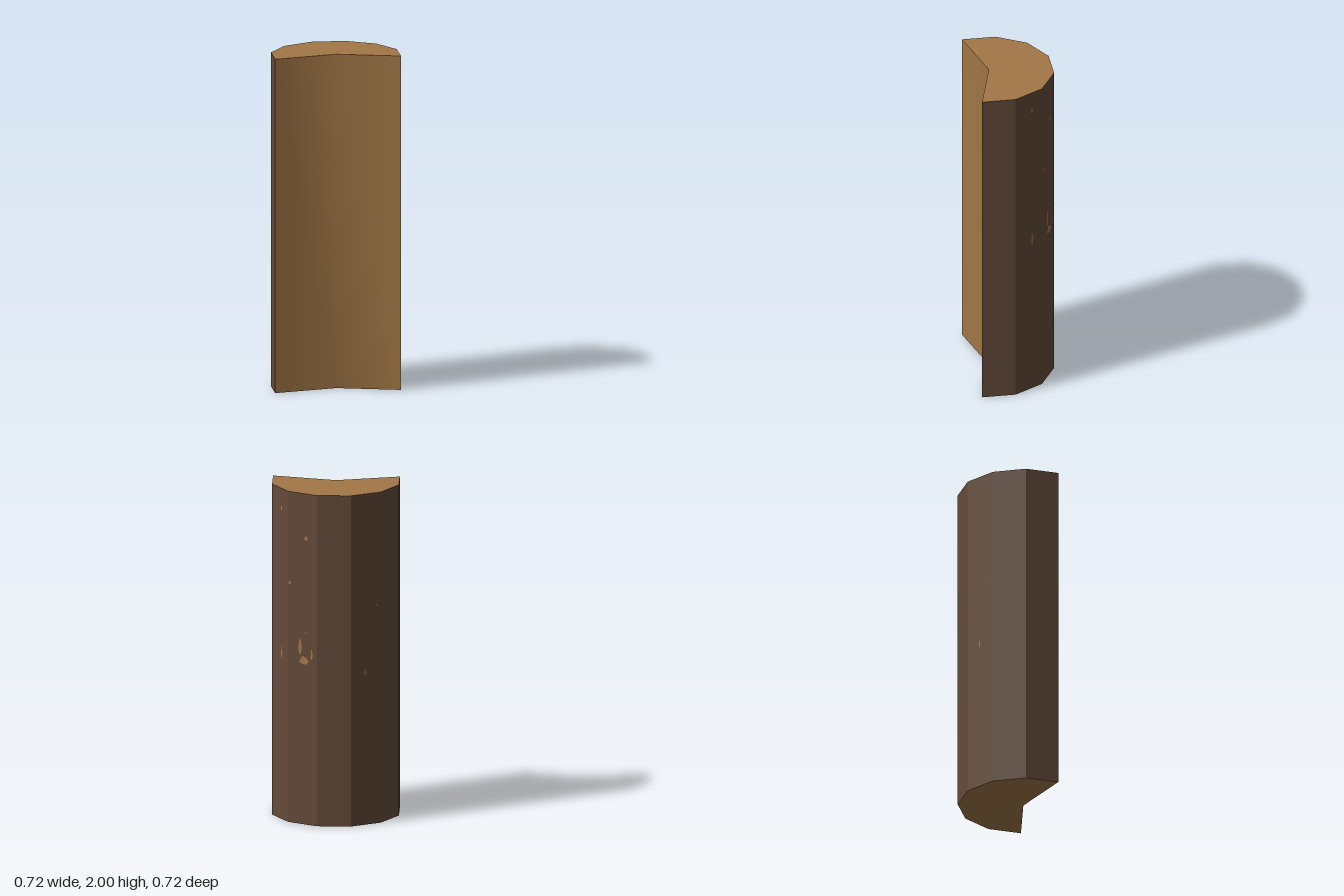
import * as THREE from 'three';

const R = 0.385, C = 0.025, H = 2;

export function createModel() {
  const wood = new THREE.MeshStandardMaterial({ color: 0xa27746 });
  wood.name = 'split wood';
  const bark = new THREE.MeshStandardMaterial({ color: 0x634a39 });
  bark.name = 'bark';

  const group = new THREE.Group();
  group.name = 'splitLog';
  const add = (name, geometry, material) => {
    const mesh = new THREE.Mesh(geometry, material);
    mesh.name = name;
    group.add(mesh);
    return mesh;
  };

  // Rim corners [x, z]: eight points of a twelve-sided trunk, from right tip round the back
  const rim = [];
  for (let i = 0; i < 8; i++) {
    const a = -Math.PI / 6 - i * Math.PI / 6;
    rim.push([C + R * Math.cos(a), C + R * Math.sin(a)]);
  }

  // Vertical wall through a list of [x, z] points
  const wall = (points) => {
    const pos = [], index = [];
    points.forEach(([x, z], i) => {
      pos.push(x, 0, z, x, H, z);
      const k = i * 2;
      if (i) index.push(k - 2, k, k - 1, k, k + 1, k - 1);
    });
    const g = new THREE.BufferGeometry();
    g.setAttribute('position', new THREE.Float32BufferAttribute(pos, 3));
    g.setIndex(index);
    g.computeVertexNormals();
    return g;
  };

  // Faceted bark
  const barkGeometry = wall([...rim].reverse()).toNonIndexed();
  barkGeometry.computeVertexNormals();
  // Reverse winding if the wall faces inwards
  const p = barkGeometry.attributes.position, n = barkGeometry.attributes.normal;
  const outward = (p.getX(0) - C) * n.getX(0) + (p.getZ(0) - C) * n.getZ(0) > 0;
  const barkWall = outward ? barkGeometry : wall(rim).toNonIndexed();
  barkWall.computeVertexNormals();
  add('bark', barkWall, bark);

  // Split faces, softly shaded across the heart of the trunk
  add('splitFaces', wall([rim[7], [C, C], rim[0]]), wood);

  // End grain
  const outline = new THREE.Shape([[C, C], ...rim].map(([x, z]) => new THREE.Vector2(x, -z)));
  const top = new THREE.ShapeGeometry(outline).rotateX(-Math.PI / 2).translate(0, H, 0);
  add('topEnd', top, wood);
  const under = new THREE.Shape([[C, C], ...rim].map(([x, z]) => new THREE.Vector2(x, z)));
  add('bottomEnd', new THREE.ShapeGeometry(under).rotateX(Math.PI / 2), wood);

  // Small chips where wood shows through: facet, position along it, height, width, length
  const chips = [
    [1, 0.61, 1.88, 0.02, 0.035], [1, 0.62, 1.01, 0.016, 0.1],
    [2, 0.06, 1.45, 0.018, 0.025], [2, 0.63, 1.73, 0.028, 0.03],
    [2, 0.62, 1.63 - 0.47, 0.008, 0.02], [2, 0.42, 1.07, 0.025, 0.12],
    [2, 0.55, 0.99, 0.07, 0.06], [2, 0.82, 1.03, 0.014, 0.08],
    [4, 0.48, 0.92, 0.014, 0.05], [4, 0.85, 1.32, 0.008, 0.02],
  ];
  const ragged = [1, 0.8, 0.95, 0.7, 1, 0.75, 0.9];
  chips.forEach(([face, t, y, w, h]) => {
    const shape = new THREE.Shape(ragged.map((r, i) => {
      const a = i / ragged.length * Math.PI * 2;
      return new THREE.Vector2(Math.cos(a) * r * w / 2, Math.sin(a) * r * h / 2);
    }));
    const [x0, z0] = rim[face], [x1, z1] = rim[face + 1];
    const mid = new THREE.Vector2((x0 + x1) / 2 - C, (z0 + z1) / 2 - C).normalize();
    const chip = add('woodChip', new THREE.ShapeGeometry(shape), wood);
    chip.position.set(x0 + (x1 - x0) * t + mid.x * 0.002, y, z0 + (z1 - z0) * t + mid.y * 0.002);
    chip.rotation.y = Math.atan2(mid.x, mid.y);
  });

  return group;
}
